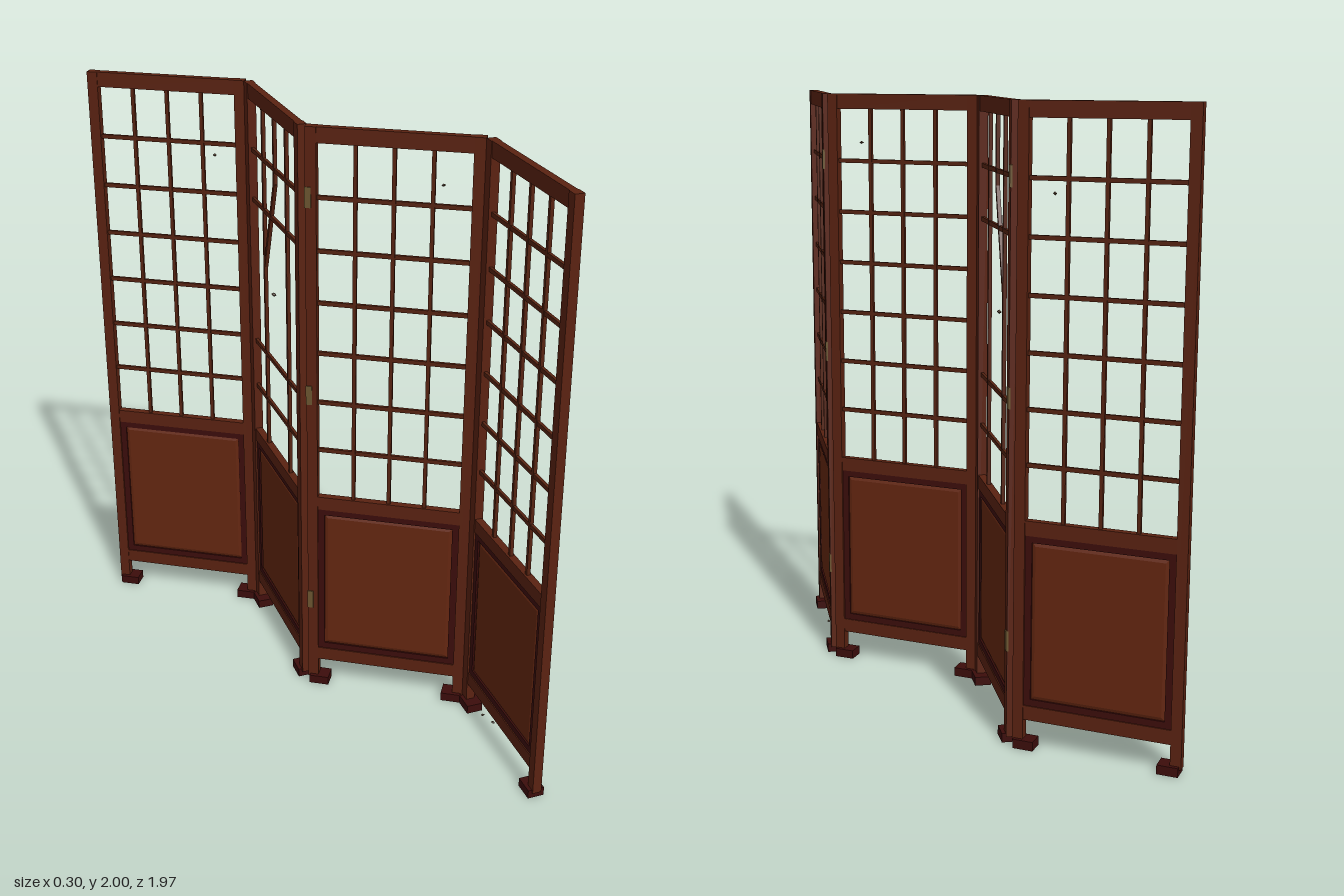
import * as THREE from 'three';

const mat = (name, color) => {
  const m = new THREE.MeshStandardMaterial({ color });
  m.name = name;
  return m;
};

export function createModel() {
  const model = new THREE.Group();
  model.name = 'foldingScreen';

  const frameWood = mat('frameWood', 0x5a2211);
  const latticeWood = mat('latticeWood', 0x562311);
  const panelWood = mat('panelWood', 0x642610);
  const darkWood = mat('darkWood', 0x3c0d0b);
  const brass = mat('agedBrass', 0x6b5530);
  const chipWood = mat('chipWood', 0x4a3420);

  const add = (parent, name, geo, material, x, y, z) => {
    const mesh = new THREE.Mesh(geo, material);
    mesh.name = name;
    mesh.position.set(x, y, z);
    parent.add(mesh);
    return mesh;
  };
  const box = (parent, name, material, w, h, d, x, y, z = 0) =>
    add(parent, name, new THREE.BoxGeometry(w, h, d), material, x, y, z);

  const rect = (Type, w, h) => {
    const p = new Type();
    p.moveTo(-w / 2, -h / 2);
    p.lineTo(w / 2, -h / 2);
    p.lineTo(w / 2, h / 2);
    p.lineTo(-w / 2, h / 2);
    p.closePath();
    return p;
  };

  const half = 0.255;              // post centre from leaf centre
  const postW = 0.035, postD = 0.03;
  const inner = 2 * half - postW;  // clear width between posts
  const fold = Math.atan2(0.122, 0.224);
  const gridBottom = 0.742, gridTop = 1.95;
  const rowStep = (gridTop - gridBottom) / 7;
  const colStep = inner / 4;

  function buildLeaf(index) {
    const leaf = new THREE.Group();
    leaf.name = `leaf${index + 1}`;
    const broken = index === 2;

    // Posts and feet
    for (const s of [-1, 1]) {
      box(leaf, 'post', frameWood, postW, 1.98, postD, s * half, 1.01, 0);
      box(leaf, 'foot', darkWood, 0.067, 0.03, 0.055, s * (half - 0.022), 0.015, 0);
    }

    // Rails
    box(leaf, 'topRail', frameWood, inner, 0.05, 0.025, 0, 1.975);
    box(leaf, 'middleRail', frameWood, inner, 0.047, 0.025, 0, 0.7185);
    box(leaf, 'bottomRail', frameWood, inner, 0.047, 0.025, 0, 0.1185);

    // Lower panel: dark moulding ring around a bevelled board
    const panelH = 0.553, panelY = 0.4185;
    const ring = rect(THREE.Shape, inner, panelH);
    ring.holes.push(rect(THREE.Path, inner - 0.044, panelH - 0.044));
    const ringGeo = new THREE.ExtrudeGeometry(ring, { depth: 0.018, bevelEnabled: false });
    add(leaf, 'panelMoulding', ringGeo, darkWood, 0, panelY, -0.009);
    const boardGeo = new THREE.ExtrudeGeometry(rect(THREE.Shape, inner - 0.066, panelH - 0.066), {
      depth: 0.004, bevelThickness: 0.005, bevelSize: 0.014, bevelSegments: 1,
    });
    add(leaf, 'panelBoard', boardGeo, panelWood, 0, panelY, -0.002);

    // Lattice, with two bars and part of a third missing in the broken leaf
    for (let c = -1; c <= 1; c++) {
      const low = broken && c === 0 ? 1.73 : gridBottom;
      box(leaf, 'latticeUpright', latticeWood, 0.012, gridTop - low, 0.012,
        c * colStep, (gridTop + low) / 2);
    }
    for (let r = 1; r <= 6; r++) {
      if (broken && (r === 3 || r === 4)) continue;
      box(leaf, 'latticeCrossbar', latticeWood, inner, 0.014, 0.01, 0, gridBottom + r * rowStep);
    }
    if (broken) {
      const dx = colStep - 0.004, dy = -0.32;
      const bar = box(leaf, 'snappedBar', latticeWood, 0.013, Math.hypot(dx, dy), 0.012,
        dx / 2, 1.73 + dy / 2);
      bar.rotation.z = Math.atan2(dx, -dy);
    }

    // Hinges on the outside of each fold
    if (index < 3) {
      const side = index % 2 === 0 ? 1 : -1;
      for (const y of [0.34, 1.115, 1.78])
        box(leaf, 'hinge', brass, 0.02, 0.066, 0.008, half + 0.009, y, side * 0.0145);
    }
    return leaf;
  }

  // Four leaves in a zigzag
  for (let i = 0; i < 4; i++) {
    const leaf = buildLeaf(i);
    leaf.position.z = 0.739 - i * 0.4927;
    leaf.rotation.y = Math.PI / 2 + (i % 2 === 0 ? -fold : fold);
    model.add(leaf);
  }

  // Loose splinters
  const chips = [
    [0.01, 1.34, -0.27, 0.012], [0.08, 1.84, 0.37, 0.008], [0.083, 1.735, -0.605, 0.01],
    [0.04, 0.047, 0.68, 0.008], [0.05, 0.047, 0.63, 0.008],
  ];
  chips.forEach(([x, y, z, r], i) => {
    const chip = add(model, 'splinter', new THREE.OctahedronGeometry(r), chipWood, x, y, z);
    chip.scale.set(0.7, 0.6, 1);
    chip.rotation.y = i;
  });

  return model;
}
